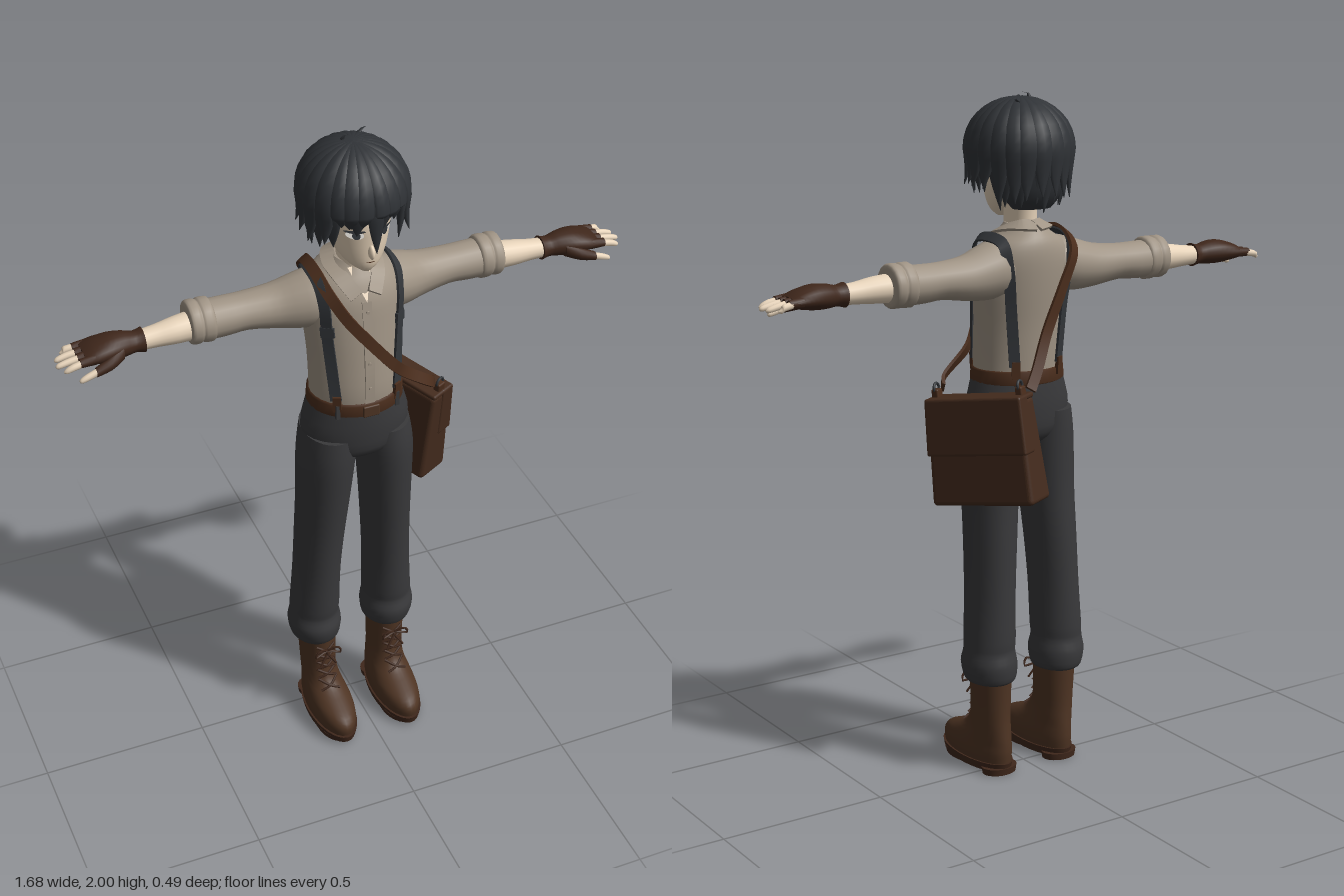
import * as THREE from 'three';
import { toCreasedNormals } from 'three/addons/utils/BufferGeometryUtils.js';
import { RoundedBoxGeometry } from 'three/addons/geometries/RoundedBoxGeometry.js';

const V = (x, y, z) => new THREE.Vector3(x, y, z);
const paint = (name, color, extra = {}) => Object.assign(new THREE.MeshStandardMaterial({ color, ...extra }), { name });

// Skin a list of rings {c, a, b}: centre and two half axes, with a x b along the sweep.
function loft(rings, seg = 20) {
  const pos = [], idx = [], off = seg === 4 ? Math.PI / 4 : 0, k = seg === 4 ? Math.SQRT2 : 1;
  const ring = ({ c, a, b }) => {
    for (let j = 0; j < seg; j++) {
      const t = off + (j / seg) * Math.PI * 2;
      const p = c.clone().addScaledVector(a, k * Math.cos(t)).addScaledVector(b, k * Math.sin(t));
      pos.push(p.x, p.y, p.z);
    }
  };
  rings.forEach(ring);
  for (let i = 0; i < rings.length - 1; i++) for (let j = 0; j < seg; j++) {
    const p = i * seg + j, q = i * seg + (j + 1) % seg;
    idx.push(p, q, q + seg, p, q + seg, p + seg);
  }
  [rings[0], rings[rings.length - 1]].forEach((r, end) => {
    const base = pos.length / 3;
    ring(r);
    pos.push(r.c.x, r.c.y, r.c.z);
    for (let j = 0; j < seg; j++) {
      const p = base + j, q = base + (j + 1) % seg;
      idx.push(base + seg, end ? p : q, end ? q : p);
    }
  });
  const g = new THREE.BufferGeometry();
  g.setAttribute('position', new THREE.Float32BufferAttribute(pos, 3));
  g.setIndex(idx);
  g.computeVertexNormals();
  return seg === 4 ? toCreasedNormals(g, 0.6) : g;
}

// Add smooth in-between rows to a short profile.
function refine(rows, n = 3) {
  const out = [], at = i => rows[Math.max(0, Math.min(rows.length - 1, i))];
  for (let i = 0; i < rows.length - 1; i++) for (let s = 0; s < n; s++) {
    const t = s / n;
    out.push(rows[i].map((b, k) => {
      const a = at(i - 1)[k], c = at(i + 1)[k], d = at(i + 2)[k];
      return 0.5 * (2 * b + (c - a) * t + (2 * a - 5 * b + 4 * c - d) * t * t + (3 * b - a - 3 * c + d) * t ** 3);
    }));
  }
  return [...out, at(rows.length)];
}
// Upright rows: [y, centre x, half width, front z, back z]
const column = (rows, seg = 28, n = 3) => loft(refine(rows, n).map(([y, x, rx, f, b]) =>
  ({ c: V(x, y, (f + b) / 2), a: V(0, 0, (f - b) / 2), b: V(rx, 0, 0) })), seg);
// Sideways rows: [x, y, z, half height, half depth]
const limb = (rows, seg = 18, n = 3) => loft(refine(rows, n).map(([x, y, z, ry, rz]) =>
  ({ c: V(x, y, z), a: V(0, ry, 0), b: V(0, 0, rz) })), seg);

// z of an upright profile's surface at x, y
function surf(rows, x, y, front = 1) {
  let i = 0;
  while (i < rows.length - 2 && rows[i + 1][0] < y) i++;
  const t = THREE.MathUtils.clamp((y - rows[i][0]) / (rows[i + 1][0] - rows[i][0]), 0, 1);
  const [, xc, rx, f, b] = rows[i].map((v, k) => THREE.MathUtils.lerp(v, rows[i + 1][k], t));
  return (f + b) / 2 + front * (f - b) / 2 * Math.sqrt(Math.max(0, 1 - ((x - xc) / rx) ** 2));
}
// Flat band along a path, facing away from the body's core
function ribbon(pts, w, t, n = 32) {
  const curve = new THREE.CatmullRomCurve3(pts), rings = [];
  for (let i = 0; i <= n; i++) {
    const c = curve.getPoint(i / n), T = curve.getTangent(i / n);
    const out = c.clone().sub(V(c.x * 0.4, Math.min(c.y, 1.52), 0.02));
    const N = out.addScaledVector(T, -out.dot(T)).normalize();
    rings.push({ c, a: N.clone().cross(T).multiplyScalar(w / 2), b: N.multiplyScalar(t / 2) });
  }
  return loft(rings, 4);
}
function mirror(geo) {
  const g = geo.clone().scale(-1, 1, 1);
  const order = g.index ? [...g.index.array] : [...Array(g.attributes.position.count).keys()];
  g.setIndex(order.reverse());
  return g;
}

// [y, centre x, half width, front z, back z]
const TORSO = [[1.18, 0, .133, .142, -.08], [1.25, 0, .133, .148, -.084], [1.35, 0, .135, .14, -.09], [1.45, 0, .143, .13, -.1],
  [1.53, 0, .145, .12, -.105], [1.58, 0, .12, .1, -.1], [1.61, 0, .075, .08, -.085], [1.635, 0, .05, .062, -.062]];
const HEAD = [[1.643, 0, .014, .125, .09], [1.665, 0, .045, .138, .04], [1.7, 0, .071, .145, -.03], [1.75, 0, .088, .15, -.08],
  [1.8, 0, .096, .152, -.1], [1.88, 0, .098, .14, -.11], [1.95, 0, .06, .09, -.07]];

export function createModel() {
  const model = new THREE.Group();
  model.name = 'figure';
  const skin = paint('skin', 0xecd8be), hair = paint('hair', 0x303337), shirt = paint('shirt', 0xa09485);
  const cloth = paint('trousers', 0x39393b), leather = paint('strap leather', 0x4a2d1c), boot = paint('boot leather', 0x4e3423);
  const glove = paint('glove leather', 0x3f271b), bagMat = paint('bag leather', 0x442b1d);
  const brace = paint('suspender grey', 0x33363a), white = paint('eye white', 0xe9e6e0);
  const add = (name, geo, mat, parent = model) => {
    const m = new THREE.Mesh(geo, mat);
    m.name = name;
    parent.add(m);
    return m;
  };
  const pair = (name, geo, mat) => { add(name + 'Left', geo, mat); add(name + 'Right', mirror(geo), mat); };

  // Head and face
  add('head', column(HEAD), skin);
  add('neck', column([[1.55, 0, .05, .075, -.05], [1.62, 0, .042, .072, -.042], [1.69, 0, .043, .075, -.045]]), skin);
  add('nose', new THREE.SphereGeometry(1, 12, 10).scale(.009, .022, .016).rotateX(-.25).translate(0, 1.717, .148), skin);
  pair('ear', new THREE.SphereGeometry(1, 12, 10).scale(.014, .032, .022).translate(.097, 1.755, .0), skin);
  const facePlate = (x, y, w, h, lift, tilt = 0) => {
    const g = new THREE.CircleGeometry(1, 20).scale(w, h, 1).rotateZ(tilt).translate(x, y, 0), p = g.attributes.position;
    for (let i = 0; i < p.count; i++) p.setZ(i, surf(HEAD, p.getX(i), p.getY(i)) + lift);
    return g;
  };
  pair('eyeWhite', facePlate(.043, 1.772, .021, .012, .003), white);
  pair('iris', facePlate(.041, 1.772, .0095, .012, .005), brace);
  pair('lash', facePlate(.044, 1.784, .025, .0045, .006, -.1), hair);
  pair('brow', facePlate(.045, 1.808, .024, .003, .004, .12), hair);
  add('mouth', facePlate(0, 1.683, .014, .0016, .004), leather);

  // Hair: scalp cap plus two layers of pointed locks falling from the crown
  add('hairCap', column([[1.68, 0, .06, 0, -.085], [1.72, 0, .092, .025, -.112], [1.78, 0, .112, .045, -.128], [1.815, 0, .122, .07, -.134],
    [1.84, 0, .13, .155, -.136], [1.9, 0, .122, .15, -.122], [1.95, 0, .085, .105, -.085], [1.972, 0, .035, .055, -.035]]), hair);
  let seed = 7;
  const rnd = () => (seed = (seed * 16807) % 2147483647) / 2147483647;
  const lock = (phi, yEnd, width, grow, flick) => {
    const rings = [], s = Math.sin(phi), c = Math.cos(phi), n = 14, bend = (rnd() - .5) * .03;
    for (let i = 0; i <= n; i++) {
      const t = i / n, th = Math.min(1, t / .65) * Math.PI / 2, d = Math.max(0, (t - .65) / .35);
      const r = Math.sin(th) * (1 - .1 * d + flick * d * d) * grow;
      const y = 1.84 + .137 * Math.cos(th) * grow + (yEnd - 1.84) * d;
      const w = width * Math.min(1, .3 + 1.6 * t) * (1 - d ** 1.6) + .0006;
      const tan = V(c, 0, -s), N = V(s * Math.sin(th), Math.cos(th), c * Math.sin(th));
      rings.push({ c: V(.138 * r * s, y, .02 + .148 * r * c).addScaledVector(tan, bend * t * t),
        a: tan.multiplyScalar(w), b: N.multiplyScalar(.4 * w + .001) });
    }
    return loft(rings, 8);
  };
  const locks = new THREE.Group();
  locks.name = 'hairLocks';
  model.add(locks);
  for (let layer = 0; layer < 2; layer++) for (let i = 0; i < 22; i++) {
    let phi = ((i + layer * .5) / 22) * Math.PI * 2;
    if (phi > Math.PI) phi -= Math.PI * 2;
    const a = Math.abs(phi);
    const end = a < .1 ? 1.725 : a < .75 ? 1.785 : a < 1.15 ? 1.715 : a < 1.9 ? 1.715 : 1.68;
    add('hairLock', lock(phi, end + (rnd() - .4) * .03 + layer * .025, a < .75 ? .024 : .03,
      1 + layer * .04, a < .75 ? .02 : layer * .16 - .08 * (a > 1.9)), hair, locks);
  }
  const tuft = (pts) => add('hairTuft', loft(pts.map((p, i) => {
    const w = .009 * (1 - i / (pts.length - 1)) + .0008;
    return { c: V(...p), a: V(0, 0, w), b: V(w, 0, 0) };
  }), 8), hair, locks);
  tuft([[-.01, 1.96, .0], [-.022, 1.983, .0], [-.02, 1.995, .005], [-.004, 1.999, .01]]);
  tuft([[.01, 1.96, .02], [.005, 1.98, .03], [-.015, 1.987, .045], [-.035, 1.978, .06]]);
  tuft([[.02, 1.955, -.02], [.035, 1.975, -.03], [.05, 1.984, -.035], [.062, 1.984, -.04]]);

  // Shirt with collar, placket, buttons, sleeves and rolled cuffs
  add('shirtBody', column(TORSO), shirt);
  const V3 = [[-.034, 1.626], [0, 1.54], [.034, 1.626]].flatMap(([x, y]) => [x, y, surf(TORSO, x, y) + .008]);
  const chest = new THREE.BufferGeometry().setAttribute('position', new THREE.Float32BufferAttribute(V3, 3));
  chest.computeVertexNormals();
  add('openNeck', chest, skin);
  pair('collar', ribbon([V(0, 1.632, -.066), V(.045, 1.634, -.045), V(.064, 1.622, .01), V(.054, 1.602, .066), V(.026, 1.56, .113)], .042, .008), shirt);
  const front = (x, y, lift = .006) => V(x, y, surf(TORSO, x, y) + lift);
  const back = (x, y, lift = .006) => V(x, y, surf(TORSO, x, y, -1) - lift);
  add('placket', ribbon([1.2, 1.3, 1.42, 1.54].map(y => front(0, y, .001)), .028, .006), shirt);
  for (const y of [1.27, 1.35, 1.43, 1.51])
    add('button', new THREE.CylinderGeometry(.005, .005, .005, 10).rotateX(Math.PI / 2).translate(0, y, surf(TORSO, 0, y) + .005), shirt);
  pair('sleeve', limb([[.05, 1.51, -.005, .08, .07], [.11, 1.51, -.008, .082, .084], [.16, 1.503, -.015, .076, .078], [.22, 1.497, -.025, .063, .066],
    [.3, 1.499, -.03, .053, .058], [.36, 1.497, -.031, .055, .058], [.42, 1.497, -.031, .056, .058]]), shirt);
  pair('cuff', limb([[.395, 1.498, -.031, .052, .054], [.402, 1.499, -.031, .063, .062], [.425, 1.5, -.031, .063, .063], [.433, 1.5, -.031, .059, .06],
    [.442, 1.5, -.031, .063, .063], [.462, 1.5, -.031, .061, .061], [.467, 1.5, -.031, .048, .05]]), shirt);

  // Forearms, fingerless gloves and fingers
  pair('forearm', limb([[.42, 1.495, -.028, .042, .044], [.5, 1.493, -.022, .038, .039], [.56, 1.49, -.02, .031, .032], [.62, 1.488, -.018, .027, .029]]), skin);
  pair('glove', limb([[.595, 1.489, -.018, .035, .036], [.62, 1.489, -.018, .029, .032], [.65, 1.491, -.018, .034, .04], [.69, 1.492, -.017, .035, .05],
    [.735, 1.49, -.018, .026, .055], [.765, 1.487, -.019, .014, .052]]), glove);
  [[.022, .828], [-.005, .842], [-.032, .838], [-.058, .815]].forEach(([z, tip]) => {
    const tz = z * 1.12;
    pair('gloveFinger', limb([[.74, 1.489, z, .015, .014], [.782, 1.486, z, .0125, .0125]], 12), glove);
    pair('finger', limb([[.76, 1.487, z, .0105, .0105], [.8, 1.481, tz, .01, .01], [tip - .008, 1.474, tz, .008, .008], [tip, 1.472, tz, .002, .002]], 10), skin);
  });
  pair('gloveThumb', limb([[.66, 1.485, .01, .022, .02], [.7, 1.472, .032, .019, .017], [.745, 1.46, .041, .0135, .013]], 12), glove);
  pair('thumb', limb([[.735, 1.462, .04, .011, .0105], [.77, 1.452, .043, .01, .0095], [.788, 1.446, .044, .007, .007], [.793, 1.445, .044, .002, .002]], 10), skin);

  // Trousers and belt
  add('trouserSeat', column([[.99, 0, .06, .08, -.04], [1.03, 0, .145, .135, -.076], [1.1, 0, .161, .149, -.085], [1.16, 0, .148, .151, -.085], [1.2, 0, .136, .149, -.083]]), cloth);
  pair('trouserLeg', column([[.283, .118, .058, .07, -.07], [.295, .118, .074, .083, -.083], [.34, .12, .081, .093, -.088], [.38, .12, .075, .082, -.079],
    [.42, .118, .074, .087, -.082], [.55, .113, .07, .096, -.08], [.7, .106, .072, .11, -.077], [.85, .098, .077, .128, -.072], [1, .09, .083, .143, -.076], [1.09, .08, .08, .14, -.08]]), cloth);
  const beltRows = [[1.178, 0, .136, .148, -.084], [1.182, 0, .141, .155, -.09], [1.216, 0, .139, .155, -.09], [1.22, 0, .132, .147, -.083]];
  add('belt', column(beltRows, 36, 1), leather);
  add('beltBuckle', new RoundedBoxGeometry(.05, .036, .01, 2, .004).translate(0, 1.199, .156), boot);
  for (const x of [-.09, .09]) add('beltLoop', new THREE.BoxGeometry(.012, .046, .01).translate(x, 1.199, surf(beltRows, x, 1.2) + .001), cloth);

  // Suspenders with clips
  pair('suspender', ribbon([front(.092, 1.235), front(.1, 1.34), front(.108, 1.45), front(.112, 1.53, .012), V(.116, 1.588, .06), V(.116, 1.602, 0),
    V(.112, 1.588, -.066), back(.104, 1.52, .012), back(.09, 1.4), back(.075, 1.235)], .032, .007, 44), brace);
  pair('frontClip', ribbon([front(.09, 1.2, .01), front(.091, 1.22, .01), front(.092, 1.25, .01)], .024, .01, 4), leather);
  pair('backClip', ribbon([back(.074, 1.25, .01), back(.074, 1.22, .01), back(.073, 1.2, .01)], .024, .01, 4), leather);
  pair('suspenderSlider', ribbon([front(.107, 1.44, .009), front(.108, 1.455, .009), front(.108, 1.47, .009)], .04, .008, 4), brace);

  // Boots with soles and laces
  const SHAFT = [[.028, .108, .064, .236, -.068], [.06, .108, .067, .241, -.072], [.085, .108, .064, .222, -.072], [.105, .109, .059, .175, -.071],
    [.13, .11, .054, .115, -.069], [.17, .112, .052, .085, -.067], [.23, .113, .054, .078, -.068], [.31, .115, .057, .08, -.072]];
  pair('boot', column(SHAFT), boot);
  pair('sole', toCreasedNormals(column([[.01, .108, .066, .24, -.068], [.034, .108, .07, .246, -.074]], 32, 1), .7), glove);
  pair('heel', toCreasedNormals(column([[0, .108, .053, .01, -.072], [.02, .108, .056, .012, -.074]], 24, 1), .7), glove);
  pair('frontTread', toCreasedNormals(column([[0, .108, .058, .225, .045], [.02, .108, .062, .235, .035]], 24, 1), .7), glove);
  const lace = (pts, r = .004) => new THREE.TubeGeometry(new THREE.CatmullRomCurve3(pts), 12, r, 6);
  const onBoot = (x, y) => V(x, y, surf(SHAFT, x, y) + .004);
  for (let i = 0; i < 5; i++) for (const s of [-1, 1]) {
    const y = .125 + i * .03;
    pair('lace', lace([onBoot(.112 - s * .03, y), onBoot(.112, y + .014), onBoot(.112 + s * .03, y + .028)]), glove);
  }
  for (const s of [-1, 1])
    pair('laceBow', lace([V(.112, .262, .086), V(.112 + s * .03, .28, .1), V(.112 + s * .042, .255, .098), V(.112, .26, .088), V(.112 + s * .025, .215, .1)], .0035), glove);

  // Satchel hanging by the left hip
  const bag = new THREE.Group();
  bag.name = 'satchel';
  bag.position.set(.175, 1.005, -.068);
  bag.rotation.set(.13, .5, 0, 'YXZ');
  model.add(bag);
  const taper = g => {
    const p = g.attributes.position;
    for (let i = 0; i < p.count; i++) {
      const y = p.getY(i);
      p.setX(i, p.getX(i) * (1 - 1.1 * y));
      p.setZ(i, p.getZ(i) * (1 - .25 * y));
    }
    g.computeVertexNormals();
    return g;
  };
  add('bagBody', taper(new RoundedBoxGeometry(.1, .3, .315, 3, .014)), bagMat, bag);
  add('bagFlap', taper(new RoundedBoxGeometry(.06, .165, .322, 3, .008).translate(.028, .078, 0)), bagMat, bag);
  add('bagFlapTop', new RoundedBoxGeometry(.088, .016, .308, 2, .007).translate(.002, .152, 0), bagMat, bag);
  for (const z of [-.135, .135]) {
    add('strapTab', new RoundedBoxGeometry(.03, .05, .022, 2, .005).translate(0, .158, z), leather, bag);
    add('strapRing', new THREE.TorusGeometry(.014, .004, 8, 16).translate(0, .185, z), brace, bag);
  }

  // Cross-body strap over the right shoulder
  add('bagStrap', ribbon([V(.235, 1.172, .06), V(.215, 1.195, .088), front(.122, 1.268, .03), front(.07, 1.33, .014), front(0, 1.42, .012), front(-.06, 1.5, .014),
    V(-.1, 1.572, .088), V(-.113, 1.61, .02), V(-.112, 1.606, -.05), V(-.1, 1.56, -.108), V(-.05, 1.46, -.125), V(.01, 1.34, -.135), V(.065, 1.24, -.165), V(.1, 1.195, -.185)], .032, .009, 70), leather);
  return model;
}
